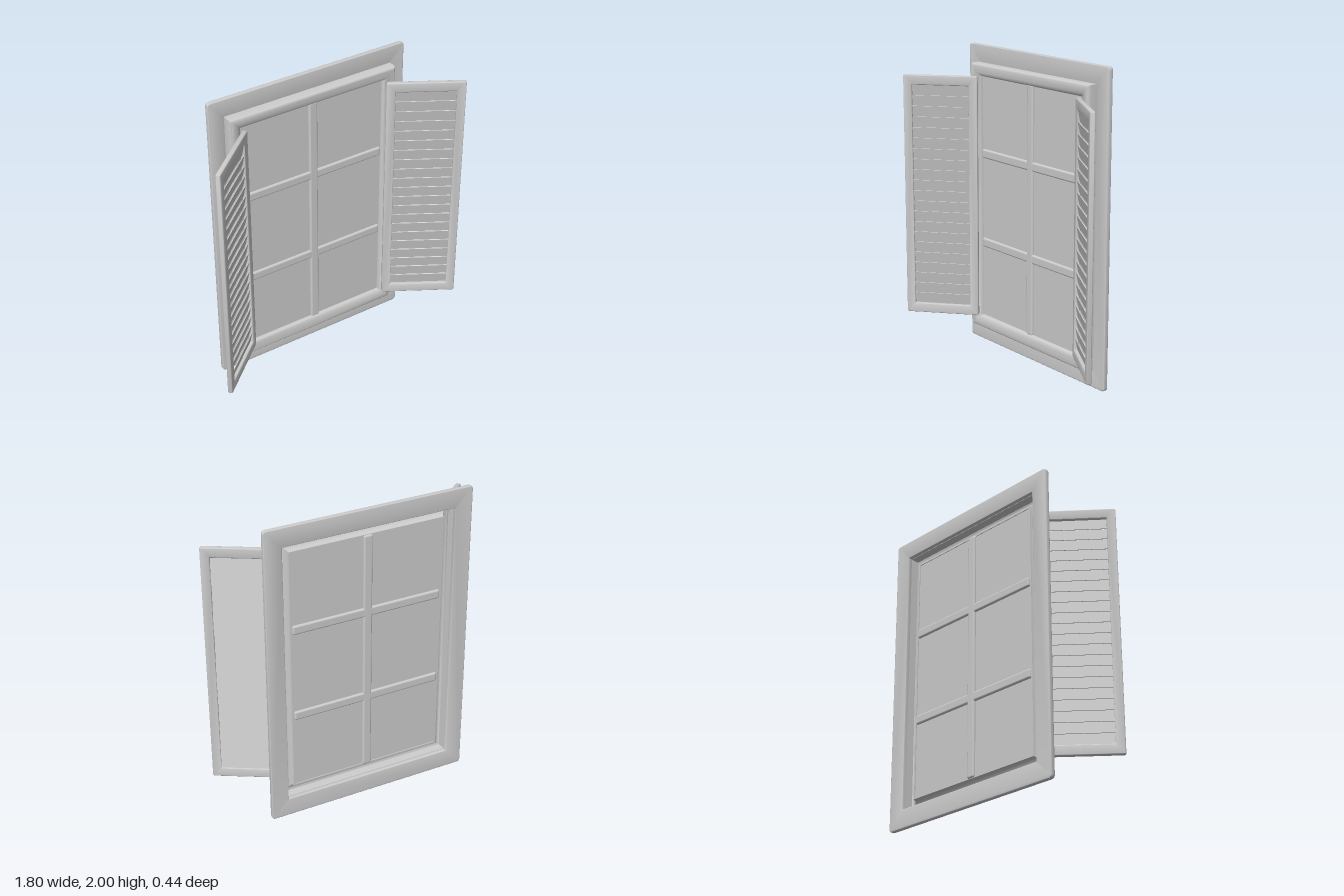
import * as THREE from 'three';
import { toCreasedNormals } from 'three/addons/utils/BufferGeometryUtils.js';
import { RoundedBoxGeometry } from 'three/addons/geometries/RoundedBoxGeometry.js';

const material = new THREE.MeshStandardMaterial({ color: 0xcccccc });

function add(parent, name, geometry, x = 0, y = 0, z = 0) {
  const mesh = new THREE.Mesh(geometry, material);
  mesh.name = name;
  mesh.position.set(x, y, z);
  parent.add(mesh);
  return mesh;
}

// Rectangle outline with small rounded corners, centred on the origin
function roundedRect(target, w, h, r) {
  const x = w / 2, y = h / 2;
  target.moveTo(-x + r, -y);
  target.lineTo(x - r, -y).quadraticCurveTo(x, -y, x, -y + r);
  target.lineTo(x, y - r).quadraticCurveTo(x, y, x - r, y);
  target.lineTo(-x + r, y).quadraticCurveTo(-x, y, -x, y - r);
  target.lineTo(-x, -y + r).quadraticCurveTo(-x, -y, -x + r, -y);
  return target;
}

// Flat rectangular frame with a hole and softened edges, centred in depth
function frameGeometry(w, h, holeW, holeH, depth, bevel, radius) {
  const shape = roundedRect(new THREE.Shape(), w - 2 * bevel, h - 2 * bevel, radius);
  shape.holes.push(roundedRect(new THREE.Path(), holeW + 2 * bevel, holeH + 2 * bevel, 0.004));
  const geometry = new THREE.ExtrudeGeometry(shape, {
    depth: depth - 2 * bevel, bevelThickness: bevel, bevelSize: bevel,
    bevelSegments: 3, curveSegments: 4,
  });
  geometry.translate(0, 0, -depth / 2 + bevel);
  return toCreasedNormals(geometry, 0.7);
}

// Closed profile of [inset, z] points swept round a rectangle with mitred corners
function mouldingGeometry(halfW, halfH, profile) {
  const corners = [[1, -1], [1, 1], [-1, 1], [-1, -1]];
  const point = ([inset, z], [sx, sy]) => [sx * (halfW - inset), sy * (halfH - inset), z];
  const positions = [];
  corners.forEach((c0, i) => {
    const c1 = corners[(i + 1) % 4];
    profile.forEach((a, j) => {
      const b = profile[(j + 1) % profile.length];
      const [p, q, r, s] = [point(a, c0), point(a, c1), point(b, c1), point(b, c0)];
      positions.push(...p, ...q, ...r, ...p, ...r, ...s);
    });
  });
  const geometry = new THREE.BufferGeometry();
  geometry.setAttribute('position', new THREE.Float32BufferAttribute(positions, 3));
  return toCreasedNormals(geometry, 0.7);
}

// Louvred shutter: bevelled frame filled with tilted slats
function createShutter(name) {
  const shutter = new THREE.Group();
  shutter.name = name;
  const openingW = 0.376, openingH = 1.48, count = 21;
  add(shutter, 'shutterFrame', frameGeometry(0.49, 1.61, openingW, openingH, 0.03, 0.006, 0.006));
  const pitch = openingH / count;
  const slat = new THREE.BoxGeometry(openingW + 0.01, pitch + 0.006, 0.005);
  for (let i = 0; i < count; i++) {
    const mesh = add(shutter, 'slat', slat, 0, -openingH / 2 + (i + 0.5) * pitch, 0);
    mesh.rotation.x = 0.2;
  }
  return shutter;
}

export function createModel() {
  const model = new THREE.Group();
  model.name = 'shutteredWindow';

  // Window body, slightly off centre because the shutters open unequally
  const body = new THREE.Group();
  body.name = 'window';
  body.position.set(-0.035, 1, 0);
  model.add(body);

  add(body, 'wallFrame', frameGeometry(1.37, 2, 1.14, 1.755, 0.03, 0.004, 0.018), 0, 0, -0.21);

  // Hollow moulding with a rounded front
  add(body, 'moulding', mouldingGeometry(0.583, 0.888, [
    [0, -0.2], [0, -0.146], [0.004, -0.136], [0.013, -0.13], [0.035, -0.13],
    [0.055, -0.134], [0.072, -0.143], [0.08, -0.155], [0.08, -0.185],
    [0.07, -0.185], [0.066, -0.165], [0.05, -0.15], [0.03, -0.144],
    [0.018, -0.15], [0.013, -0.2],
  ]));

  // Glass and glazing bars
  add(body, 'glass', new THREE.BoxGeometry(1.01, 1.63, 0.014), 0, 0, -0.173);
  add(body, 'verticalBar', new RoundedBoxGeometry(0.06, 1.63, 0.044, 3, 0.012), 0, 0, -0.173);
  for (const y of [-0.3, 0.3]) {
    add(body, 'horizontalBar', new RoundedBoxGeometry(1.0, 0.06, 0.042, 3, 0.012), 0, y, -0.173);
  }

  // Open shutters, one swung further than the other
  const right = createShutter('rightShutter');
  right.position.set(-0.711, 1.005, 0.048);
  right.rotation.y = 0.727;
  const left = createShutter('leftShutter');
  left.position.set(0.681, 1.005, 0.01);
  left.rotation.y = -0.532;
  model.add(right, left);

  return model;
}
